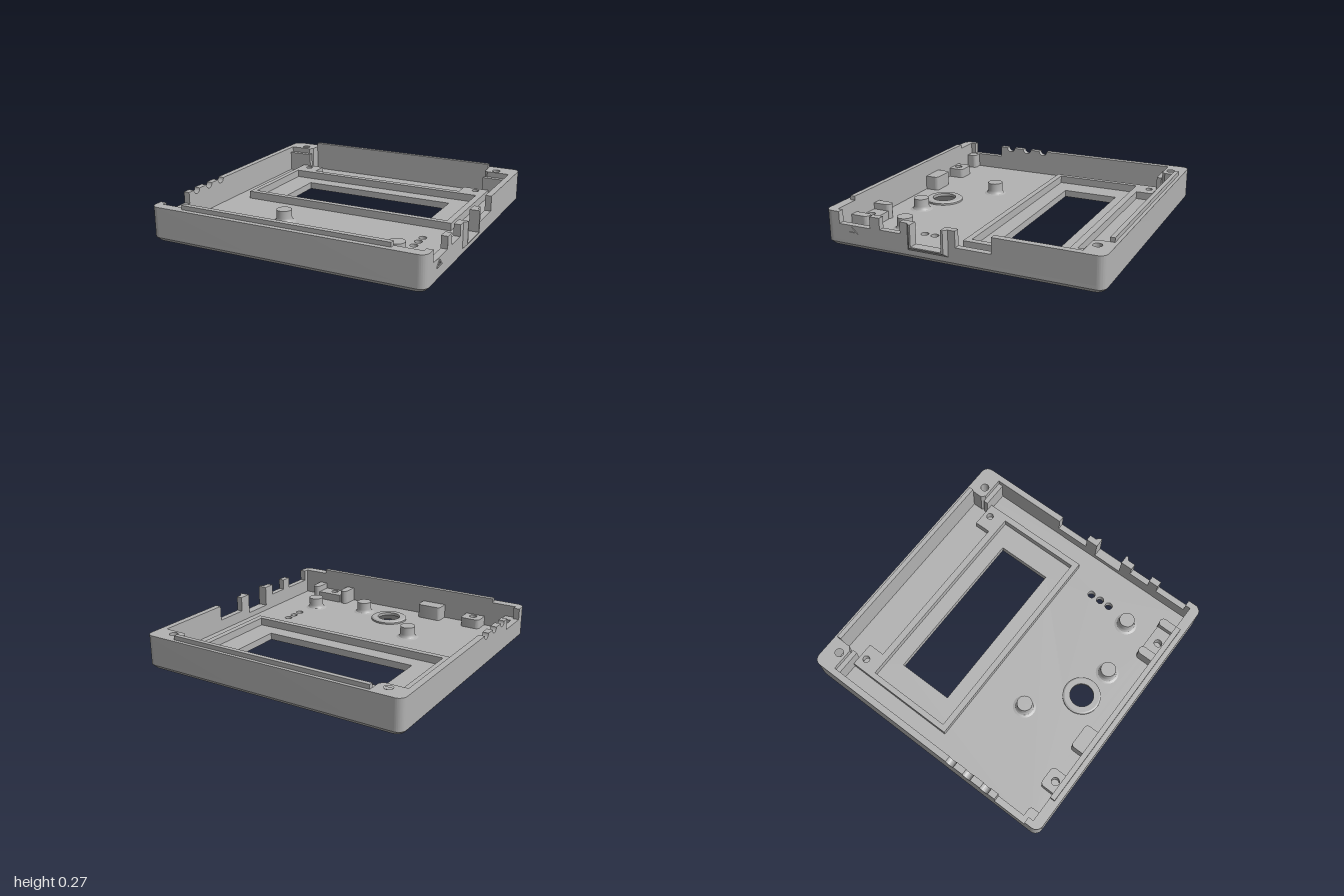
import * as THREE from 'three';
import { toCreasedNormals } from 'three/addons/utils/BufferGeometryUtils.js';

const FLOOR = 0.05, TOP = 0.24;
const L = -1, R = 0.975, B = -0.98, F = 0.98; // outer plan limits
const IL = -0.955, IR = 0.93, IB = -0.924, IF = 0.908; // inner plan limits

export function createModel() {
  const group = new THREE.Group();
  const grey = new THREE.MeshStandardMaterial({ color: 0xb2b2b2 });
  grey.name = 'grey plastic';

  const add = (name, geometry) => {
    const mesh = new THREE.Mesh(geometry, grey);
    mesh.name = name;
    group.add(mesh);
    return mesh;
  };

  // Plan rectangle with corner radii [back-left, back-right, front-right, front-left]; shape y is -z
  const plan = (x0, x1, z0, z1, r = [0, 0, 0, 0]) => {
    const s = new THREE.Shape();
    const P = Math.PI;
    const corner = (x, y, rad, sx, sy, a) => {
      if (rad) s.absarc(x + sx * rad, y + sy * rad, rad, a, a + P / 2, false);
      else if (s.curves.length || s.started) s.lineTo(x, y);
      else s.moveTo(x, y);
      s.started = true;
    };
    corner(x0, -z1, r[3], 1, 1, P);
    corner(x1, -z1, r[2], -1, 1, 1.5 * P);
    corner(x1, -z0, r[1], -1, -1, 0);
    corner(x0, -z0, r[0], 1, -1, P / 2);
    s.closePath();
    return s;
  };
  const circle = (x, z, r) => new THREE.Path().absarc(x, -z, r, 0, Math.PI * 2, true);
  const poly = (pts) => new THREE.Shape(pts.map(([x, y]) => new THREE.Vector2(x, y)));
  const planPoly = (pts) => poly(pts.map(([x, z]) => [x, -z]));

  // Extrude a plan shape upwards from y0 to y1
  const raise = (shape, y0, y1, steps = 1) => {
    const g = new THREE.ExtrudeGeometry(shape, { depth: y1 - y0, steps, bevelEnabled: false, curveSegments: 16 });
    return g.rotateX(-Math.PI / 2).translate(0, y0, 0);
  };
  // Extrude a (z, y) profile across x
  const across = (shape, x0, x1) => {
    const g = new THREE.ExtrudeGeometry(shape, { depth: x1 - x0, bevelEnabled: false, curveSegments: 12 });
    return g.rotateY(-Math.PI / 2).translate(x1, 0, 0);
  };
  const smooth = (g) => toCreasedNormals(g, 0.5);
  const block = (name, x0, x1, z0, z1, y0, y1, r) => add(name, smooth(raise(plan(x0, x1, z0, z1, r), y0, y1)));

  // Floor plate with window, holes and a chamfered lower edge
  const backScrews = [[-0.85, -0.875], [0.82, -0.875]];
  const frontScrews = [[-0.64, 0.865], [0.62, 0.865]];
  const screws = [...backScrews, ...frontScrews];
  const floor = plan(L, R, B, F, [0.055, 0.055, 0.055, 0.055]);
  floor.holes.push(plan(-0.612, 0.573, -0.516, -0.107), circle(-0.02, 0.648, 0.128));
  for (const z of [0.25, 0.328, 0.406]) floor.holes.push(circle(0.667, z, 0.027));
  for (const [x, z] of screws) floor.holes.push(circle(x, z, 0.037));
  const floorGeo = raise(floor, 0, FLOOR, 2);
  const p = floorGeo.attributes.position;
  const cx = (L + R) / 2;
  for (let i = 0; i < p.count; i++) {
    const x = p.getX(i), z = p.getZ(i);
    if (p.getY(i) < 0.01 && (Math.abs(x - cx) > 0.93 || Math.abs(z) > 0.92)) {
      p.setX(i, cx + (x - cx) * 0.979);
      p.setZ(i, z * 0.979);
    }
  }
  floorGeo.computeVertexNormals();
  add('floorPlate', smooth(floorGeo));
  for (const [x, z] of screws) {
    add('screwHoleCap', new THREE.CylinderGeometry(0.037, 0.037, 0.02, 24)).position.set(x, 0.04, z);
  }

  // Front and back walls with raised lips
  block('frontWall', L, R, IF, F, FLOOR, TOP, [0, 0, 0.055, 0.055]);
  block('backWall', L, R, B, IB, FLOOR, TOP, [0.055, 0.055, 0, 0]);
  block('frontLip', -0.77, 0.74, IF, 0.945, TOP, 0.27);
  block('backLip', -0.77, 0.74, -0.956, IB, TOP, 0.27);

  // Right-hand wall with connector cut-outs: [front z, back z, bottom y]
  const cuts = [[0.87, 0.63, 0.157], [0.555, 0.4, 0.16], [0.31, 0.09, 0.09], [0, -0.25, 0.13]];
  const profile = [[IB, FLOOR], [IF, FLOOR], [IF, TOP]];
  for (const [a, b, y] of cuts) profile.push([a, TOP], [a, y], [b, y], [b, TOP]);
  profile.push([IB, TOP]);
  add('connectorWall', across(poly(profile), IR, R));

  // Opposite wall with one cut-out and three round cable notches
  const wall = poly([[IB, FLOOR], [IF, FLOOR], [IF, TOP], [0.87, TOP], [0.87, 0.157], [0.62, 0.157], [0.62, TOP]]);
  for (const z of [0.53, 0.382, 0.238]) {
    wall.lineTo(z + 0.033, TOP);
    wall.absarc(z, TOP, 0.033, 0, -Math.PI, true);
  }
  wall.lineTo(IB, TOP);
  add('cableWall', smooth(across(wall, L, IL)));

  // Tapered collar around the large side opening
  const collar = across(poly([[0.05, TOP], [0.05, 0.06], [0.345, 0.06], [0.345, TOP],
    [0.31, TOP], [0.31, 0.09], [0.09, 0.09], [0.09, TOP]]), R, 1);
  const c = collar.attributes.position;
  for (let i = 0; i < c.count; i++) {
    if (c.getX(i) < 0.99) continue;
    if (c.getZ(i) > 0.33) c.setZ(i, 0.322);
    if (c.getZ(i) < 0.06) c.setZ(i, 0.073);
    if (c.getY(i) < 0.07) c.setY(i, 0.082);
  }
  collar.computeVertexNormals();
  add('openingCollar', collar);

  // Raised triangle mark on the side
  const mark = poly([[0.725, 0.102], [0.815, 0.102], [0.77, 0.147]]);
  mark.holes.push(poly([[0.748, 0.111], [0.77, 0.133], [0.792, 0.111]]));
  add('triangleMark', across(mark, R, R + 0.006));

  // Back corner screw posts, each with a lower step
  for (const [i, [x, z]] of backScrews.entries()) {
    const outer = i ? IR : IL, inner = i ? 0.74 : -0.77, s = i ? 1 : -1;
    const post = planPoly([[outer, IB], [inner, IB], [inner, -0.85], [inner + s * 0.025, -0.825], [outer, -0.825]]);
    post.holes.push(circle(x, z, 0.03));
    add('cornerPost', smooth(raise(post, FLOOR, TOP)));
    block('cornerStep', Math.min(outer, inner), Math.max(outer, inner), -0.825, -0.79, FLOOR, 0.2);
  }

  // Display frame with two screw tabs
  const frame = planPoly([[-0.83, 0.045], [0.79, 0.045], [0.79, -0.79], [0.597, -0.79],
    [0.597, -0.67], [-0.65, -0.67], [-0.65, -0.79], [-0.83, -0.79]]);
  frame.holes.push(plan(-0.79, 0.745, -0.623, 0.003), circle(-0.75, -0.74, 0.025), circle(0.705, -0.74, 0.025));
  add('displayFrame', smooth(raise(frame, FLOOR, 0.105)));

  // Support pegs with flared feet
  const pegProfile = [[0.082, 0], [0.066, 0.006], [0.058, 0.016], [0.055, 0.03], [0.055, 0.086], [0, 0.086]];
  const lathe = (pts) => smooth(new THREE.LatheGeometry(pts.map(([x, y]) => new THREE.Vector2(x, y)), 32).toNonIndexed());
  for (const [x, z] of [[-0.33, 0.37], [0.232, 0.695], [0.625, 0.587]]) {
    add('supportPeg', lathe(pegProfile)).position.set(x, FLOOR, z);
  }

  // Countersunk knob hole with raised rim
  add('knobHole', lathe([[0.137, FLOOR], [0.137, 0.062], [0.125, 0.07], [0.085, 0.07], [0.085, 0.05], [0.128, 0]]
    )).position.set(-0.02, 0, 0.648);

  // Mounts along the front wall
  const mount = plan(-0.715, -0.565, 0.79, IF, [0.03, 0.03, 0, 0]);
  mount.holes.push(circle(-0.64, 0.865, 0.028));
  add('screwMount', smooth(raise(mount, FLOOR, 0.12)));
  block('supportBlock', -0.38, -0.193, 0.806, IF, FLOOR, 0.155, [0.025, 0.025, 0, 0]);
  block('cornerBlock', IL, -0.88, 0.832, IF, FLOOR, 0.155, [0, 0.025, 0, 0]);
  const seat = plan(0.525, 0.727, 0.79, IF);
  seat.holes.push(circle(0.62, 0.865, 0.028));
  add('clipSeat', smooth(raise(seat, FLOOR, 0.11)));
  for (const x of [0.46, 0.727]) block('clipArm', x, x + 0.063, 0.782, IF, FLOOR, 0.155, [0.03, 0.03, 0, 0]);

  return group;
}
